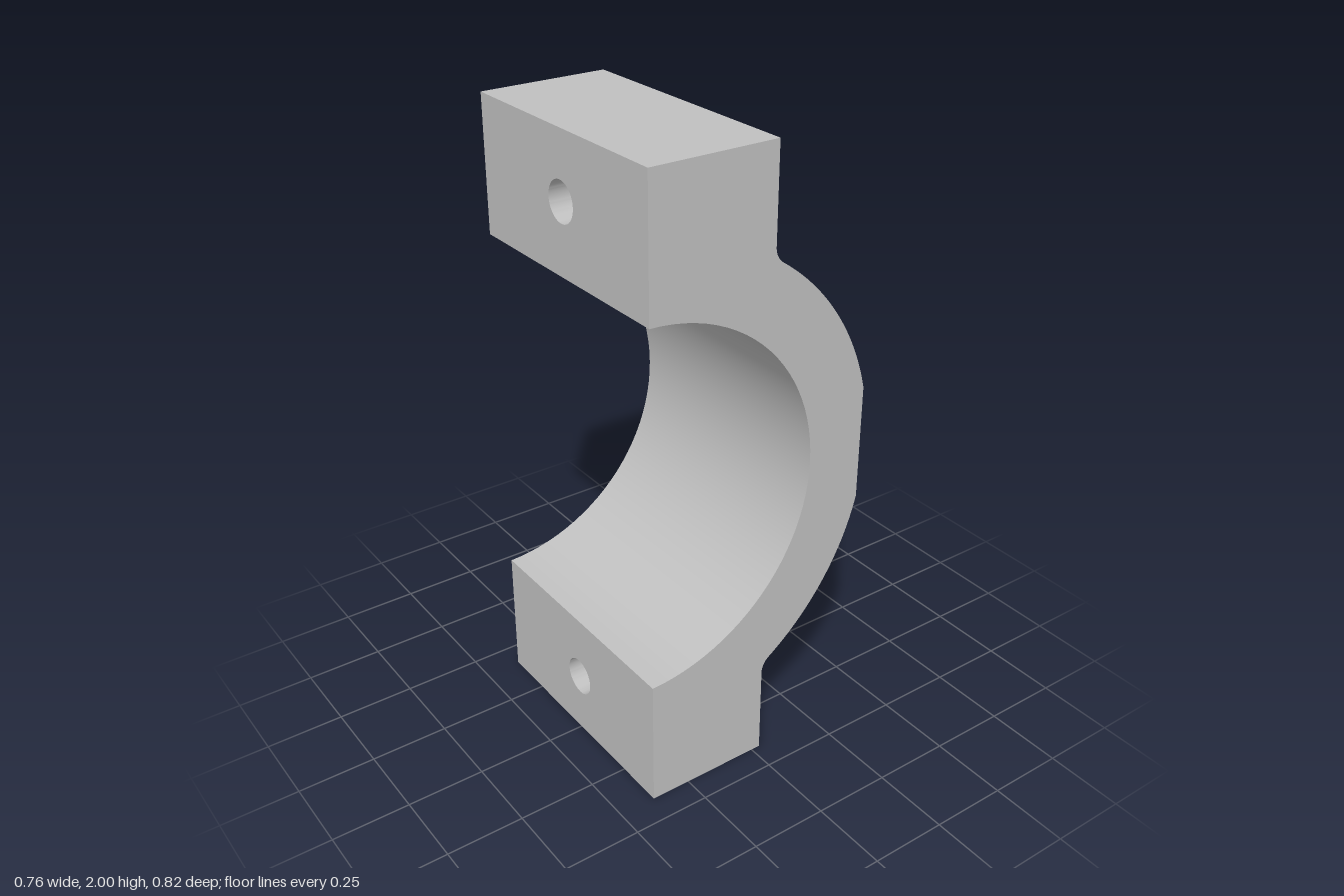
import * as THREE from 'three';
import { toCreasedNormals } from 'three/addons/utils/BufferGeometryUtils.js';

const DEPTH = 0.824;          // width of the clamp along z
const BACK = -0.38, SEAT = 0.03, FACE = 0.38;
const SPLIT = 0.66;           // height above the bore axis where lugs meet the arch
const ENGRAVE = 0.009;        // depth of the engraved rosette
const FLAT = 0.185;           // half height of the flat on the arch

const metal = new THREE.MeshStandardMaterial({ color: 0xc0c0c0 });
metal.name = 'plain grey';

function part(name, geometry) {
  const mesh = new THREE.Mesh(toCreasedNormals(geometry, 0.15), metal);
  mesh.name = name;
  return mesh;
}

function rectangle(x0, y0, x1, y1) {
  return new THREE.Shape([[x0, y0], [x1, y0], [x1, y1], [x0, y1]]
    .map(([x, y]) => new THREE.Vector2(x, y)));
}

// Extrudes shapes drawn in the z-y plane from x0 to x1
function extrudeAlongX(shapes, x0, x1) {
  return new THREE.ExtrudeGeometry(shapes, { depth: x1 - x0, bevelEnabled: false, curveSegments: 24 })
    .rotateY(Math.PI / 2).translate(x0, 0, 0);
}

// Half-round saddle with filleted shoulders and a shallow slot for the face plate
function archGeometry() {
  const cx = -0.39, outer = 0.792, inner = 0.576, fillet = 0.06;
  const fx = SEAT + fillet;
  const fy = Math.sqrt((outer + fillet) ** 2 - (fx - cx) ** 2);
  const shoulder = Math.atan2(fy, fx - cx);
  const flat = Math.asin(FLAT / outer);
  const bore = Math.acos((BACK - cx) / inner);
  const s = new THREE.Shape();
  s.moveTo(BACK, SPLIT);
  s.lineTo(SEAT, SPLIT);
  s.absarc(fx, fy, fillet, Math.PI, Math.PI + shoulder, false);
  s.absarc(cx, 0, outer, shoulder, flat, true);
  s.lineTo(FACE - ENGRAVE, FLAT);
  s.lineTo(FACE - ENGRAVE, -FLAT);
  s.absarc(cx, 0, outer, -flat, -shoulder, true);
  s.absarc(fx, -fy, fillet, Math.PI - shoulder, Math.PI, false);
  s.lineTo(SEAT, -SPLIT);
  s.lineTo(BACK, -SPLIT);
  s.absarc(cx, 0, inner, -bore, bore, false);
  return new THREE.ExtrudeGeometry(s, { depth: DEPTH, bevelEnabled: false, curveSegments: 24 })
    .translate(0, 0, -DEPTH / 2);
}

// Flat plate engraved with seven interlaced rings
function rosetteShapes() {
  const d = 0.087, half = 0.006, step = Math.PI / 3;
  const polar = (r, a) => new THREE.Vector2(r * Math.cos(a), r * Math.sin(a));
  const centres = [new THREE.Vector2()];
  for (let k = 0; k < 6; k++) centres.push(polar(d, Math.PI / 2 + k * step));

  // Scalloped outer edge: the farthest ring in each direction
  const rim = [];
  for (let i = 0; i < 96; i++) {
    const a = i / 96 * Math.PI * 2;
    const off = Math.round((a - Math.PI / 2) / step) * step + Math.PI / 2 - a;
    rim.push(polar(d * Math.cos(off) + Math.sqrt((d + half) ** 2 - (d * Math.sin(off)) ** 2), a));
  }
  const frame = rectangle(-DEPTH / 2, -FLAT, DEPTH / 2, FLAT);
  frame.holes.push(new THREE.Path(rim));

  // Islands between the grooves: march outwards from a seed until a groove is met
  const inGroove = p => centres.some(c => Math.abs(p.distanceTo(c) - d) < half);
  const island = seed => {
    const edge = [];
    for (let i = 0; i < 36; i++) {
      const dir = polar(0.0005, i / 36 * Math.PI * 2);
      const p = seed.clone();
      for (let n = 0; n < 300 && !inGroove(p); n++) p.add(dir);
      edge.push(p);
    }
    return new THREE.Shape(edge);
  };
  const shapes = [frame];
  for (let k = 0; k < 6; k++) {
    const a = Math.PI / 2 + k * step;
    shapes.push(island(polar(0.5 * d, a)), island(polar(1.5 * d, a)),
      island(polar(0.55 * d, a + step / 2)), island(polar(1.2 * d, a + step / 2)));
  }
  return shapes;
}

// Bolt lug with a through hole and a wide counterbore from the outer face
function lug(name, side) {
  const group = new THREE.Group();
  group.name = name;
  const layer = (radius, x0, x1, label) => {
    const s = rectangle(-DEPTH / 2, Math.min(side * SPLIT, side), DEPTH / 2, Math.max(side * SPLIT, side));
    const hole = new THREE.Path();
    hole.absarc(0, side * 0.795, radius, 0, Math.PI * 2, true);
    s.holes.push(hole);
    group.add(part(label, extrudeAlongX(s, x0, x1)));
  };
  const floor = SEAT - 0.22;
  layer(0.062, BACK, floor, 'boltHoleBlock');
  layer(0.109, floor, SEAT, 'counterboreBlock');
  return group;
}

export function createModel() {
  const model = new THREE.Group();
  model.name = 'pipeClampHalf';
  const body = new THREE.Group();
  body.name = 'clampBody';
  body.position.y = 1;
  body.add(
    part('arch', archGeometry()),
    part('engravedFace', extrudeAlongX(rosetteShapes(), FACE - ENGRAVE, FACE)),
    lug('upperLug', 1),
    lug('lowerLug', -1)
  );
  model.add(body);
  return model;
}
